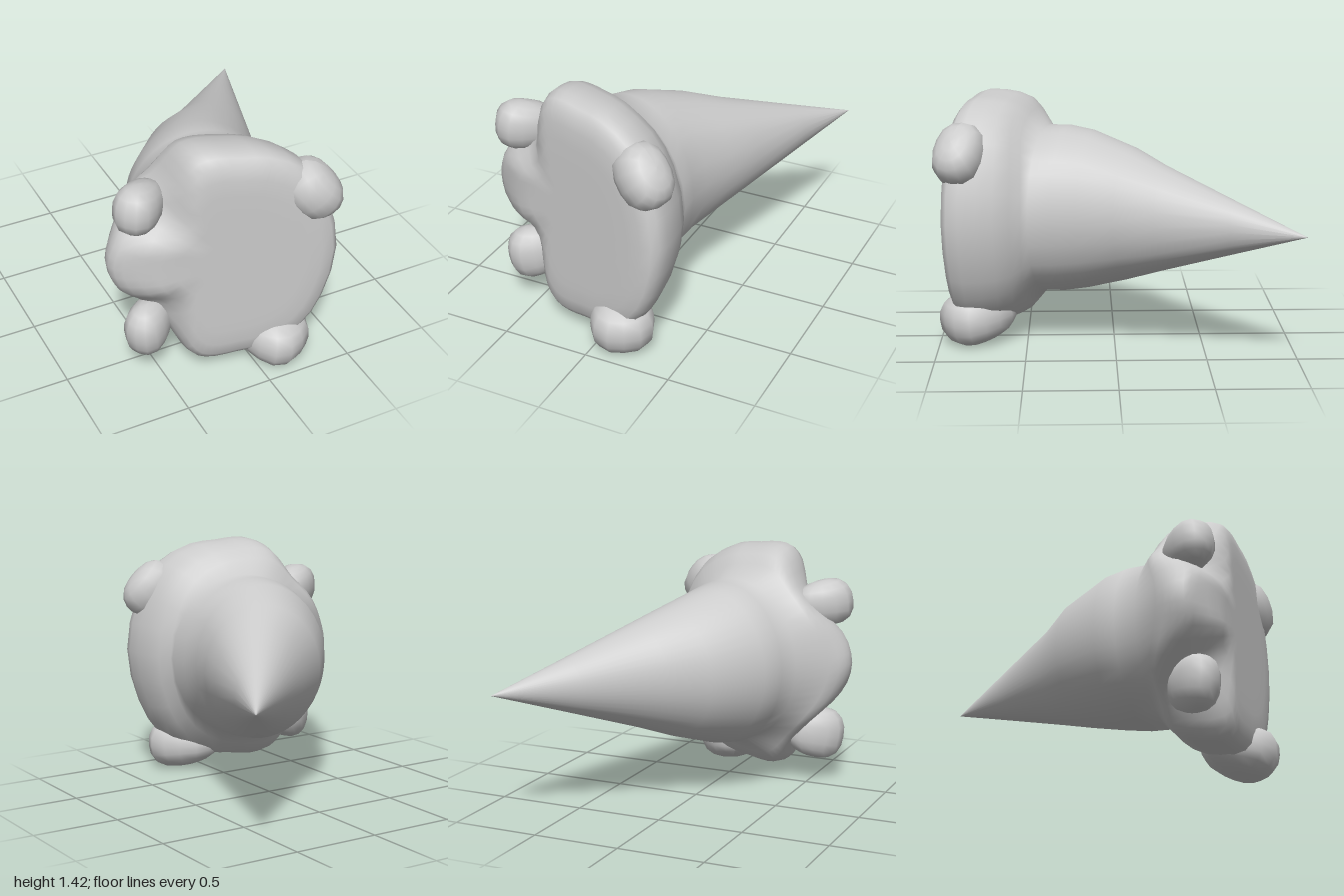
import * as THREE from 'three';

const MID = 0.75; // height of the symmetry plane
const CX = -0.16; // centre of the head outline
const { lerp, smoothstep } = THREE.MathUtils;

const material = () => new THREE.MeshStandardMaterial({ color: 0xcccccc });

// Skin equal-length rings (arrays of Vector3), front to back; the end rings are single points
function loft(rings) {
  const n = rings[0].length;
  const index = [];
  for (let i = 0; i < rings.length - 1; i++) {
    for (let j = 0; j < n; j++) {
      const a = i * n + j, b = i * n + (j + 1) % n;
      if (i > 0) index.push(a, b + n, b);
      if (i < rings.length - 2) index.push(a, a + n, b + n);
    }
  }
  const geo = new THREE.BufferGeometry().setFromPoints(rings.flat());
  geo.setIndex(index);
  geo.computeVertexNormals();
  return geo;
}

// Upper half of the head outline as x, height above the symmetry plane
const UPPER = [
  [0.37, 0.33], [0.25, 0.53], [0.05, 0.638], [-0.1, 0.656], [-0.23, 0.67],
  [-0.32, 0.65], [-0.38, 0.58], [-0.44, 0.45], [-0.53, 0.35], [-0.65, 0.235], [-0.725, 0.12],
];

function headOutline() {
  const lower = UPPER.map(([x, y]) => [x, -1.02 * y]).reverse();
  const pts = [[0.437, 0], ...UPPER, [-0.755, 0], ...lower];
  const curve = new THREE.CatmullRomCurve3(pts.map(([x, y]) => new THREE.Vector3(x - CX, y, 0)), true);
  return curve.getPoints(48).slice(0, 48);
}

// z of a head point: slanted front plane, then softer or fuller sides
function headZ(x, y, depth) {
  const lobe = smoothstep(-x, 0.5, 0.76) * (0.07 - 0.5 * depth);
  const corner = 0.18 * smoothstep(-x, 0.36, 0.52) * smoothstep(Math.abs(y), 0.12, 0.36) * (1 - depth / 0.4);
  const flank = 0.15 * smoothstep(x, 0.1, 0.44) * depth;
  return 0.88 + 0.26 * x - depth - lobe - corner - flank;
}

function createBody() {
  const outline = headOutline();
  const rings = [];
  // Head: outline scale, depth behind the front plane, blend towards an ellipse
  const head = [
    [0, 0, 0], [0.3, 0, 0], [0.5, 0, 0], [0.66, 0, 0], [0.8, 0.003, 0], [0.91, 0.018, 0], [0.97, 0.05, 0],
    [1, 0.11, 0], [0.995, 0.19, 0.05], [0.975, 0.27, 0.15], [0.93, 0.345, 0.3], [0.85, 0.395, 0.5],
  ];
  for (const [s, depth, round] of head) {
    rings.push(outline.map((p) => {
      const angle = Math.atan2(p.y / 0.67, p.x / 0.595);
      const x = CX + s * lerp(p.x, 0.595 * Math.cos(angle), round);
      const y = s * lerp(p.y, 0.67 * Math.sin(angle), round);
      return new THREE.Vector3(x, MID + y, headZ(x, y, depth));
    }));
  }
  // Bent cone: left x, left z, right x, right z, half height
  const cone = [
    [-0.51, 0.27, 0.355, 0.49, 0.48], [-0.47, 0.15, 0.35, 0.37, 0.48], [-0.415, 0.03, 0.36, 0.22, 0.455],
    [-0.2, -0.22, 0.425, 0.02, 0.375], [0, -0.35, 0.495, -0.2, 0.295], [0.375, -0.675, 0.622, -0.6, 0.147],
    [0.75, -1, 0.75, -1, 0],
  ];
  for (const [xl, zl, xr, zr, h] of cone) {
    rings.push(outline.map((p) => {
      const angle = Math.atan2(p.y, p.x);
      const t = (1 + Math.cos(angle)) / 2;
      return new THREE.Vector3(lerp(xl, xr, t), MID + h * Math.sin(angle), lerp(zl, zr, t));
    }));
  }
  const mesh = new THREE.Mesh(loft(rings), material());
  mesh.name = 'headAndBentCone';
  return mesh;
}

// Boxy tapered knob: blunt end along the axis, size = half length, half height, half width
function createKnob(name, position, axis, size, taper) {
  const geo = new THREE.SphereGeometry(1, 14, 10);
  const pos = geo.attributes.position;
  const v = new THREE.Vector3();
  for (let i = 0; i < pos.count; i++) {
    v.fromBufferAttribute(pos, i);
    v.multiplyScalar((Math.abs(v.x) ** 2.5 + Math.abs(v.y) ** 2.5 + Math.abs(v.z) ** 2.5) ** -0.4);
    const k = 1 + taper * v.x;
    pos.setXYZ(i, v.x, v.y * k, v.z * k);
  }
  geo.scale(...size);
  geo.computeVertexNormals();
  const mesh = new THREE.Mesh(geo, material());
  mesh.name = name;
  mesh.position.set(...position);
  const out = new THREE.Vector3(...axis).normalize();
  const side = new THREE.Vector3().crossVectors(out, new THREE.Vector3(0, 1, 0)).normalize();
  const up = new THREE.Vector3().crossVectors(side, out);
  mesh.quaternion.setFromRotationMatrix(new THREE.Matrix4().makeBasis(out, up, side));
  return mesh;
}

export function createModel() {
  const group = new THREE.Group();
  group.name = 'knobbedCone';
  group.add(createBody());
  // Four knobs around the rim of the head
  group.add(
    createKnob('upperLeftKnob', [0.29, 1.12, 0.855], [0.6, -0.75, 0.25], [0.18, 0.138, 0.138], 0),
    createKnob('lowerLeftKnob', [0.11, 0.155, 0.775], [0.5, -0.1, 0.85], [0.22, 0.14, 0.17], 0.2),
    createKnob('upperRightKnob', [-0.565, 1.095, 0.57], [-0.75, 0.1, 0.6], [0.175, 0.132, 0.115], 0.15),
    createKnob('lowerRightKnob', [-0.525, 0.3, 0.575], [-0.75, -0.15, 0.6], [0.175, 0.15, 0.11], 0.15),
  );
  return group;
}
